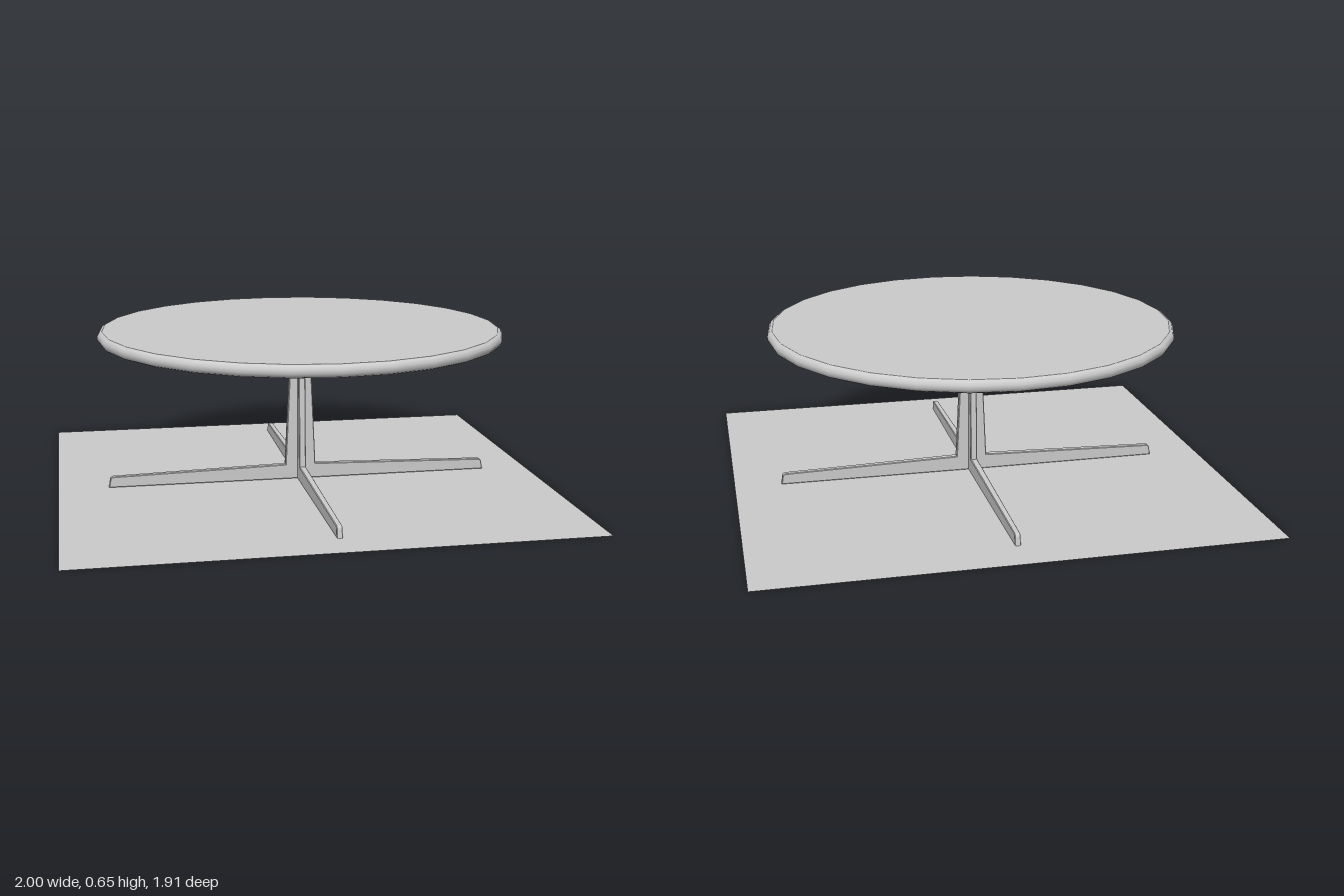
import * as THREE from 'three';

const SIDES = 28;
const TOP_Y = 0.65, UNDER_Y = 0.6, FACE_R = 0.81, RIM_R = 0.829;

export function createModel() {
  const model = new THREE.Group();
  const grey = new THREE.MeshStandardMaterial({ color: 0xcccccc });
  const greyDouble = new THREE.MeshStandardMaterial({ color: 0xcccccc, side: THREE.DoubleSide });

  const add = (parent, name, geometry, material = grey) => {
    const mesh = new THREE.Mesh(geometry, material);
    mesh.name = name;
    parent.add(mesh);
    return mesh;
  };

  // Flat floor sheet
  add(model, 'floor', new THREE.PlaneGeometry(2, 1.914).rotateX(-Math.PI / 2), greyDouble);

  const table = new THREE.Group();
  table.name = 'table';
  table.position.set(0.008, 0, 0.002);
  model.add(table);

  // Round top: softly rounded rim between two flat faces
  const rim = [
    [FACE_R, UNDER_Y], [0.822, 0.606], [RIM_R, 0.618],
    [RIM_R, 0.632], [0.822, 0.644], [FACE_R, TOP_Y],
  ].map(([r, y]) => new THREE.Vector2(r, y));
  add(table, 'tabletopRim', new THREE.LatheGeometry(rim, SIDES));
  add(table, 'tabletopFace', new THREE.CircleGeometry(FACE_R, SIDES).rotateX(-Math.PI / 2)).position.y = TOP_Y;
  add(table, 'tabletopUnderside', new THREE.CircleGeometry(FACE_R, SIDES).rotateX(Math.PI / 2)).position.y = UNDER_Y;

  // L-shaped blade: a foot along the floor and a tapering quarter of the post
  const profile = new THREE.Shape();
  profile.moveTo(0, 0);
  profile.lineTo(0.802, 0);
  profile.lineTo(0.797, 0.032);
  profile.quadraticCurveTo(0.795, 0.044, 0.783, 0.045);
  profile.lineTo(0.064, 0.063);
  profile.lineTo(0.039, UNDER_Y);
  profile.lineTo(0, UNDER_Y);
  const depth = 0.022, bevel = 0.003;
  const blade = new THREE.ExtrudeGeometry(profile, {
    depth, curveSegments: 3, bevelEnabled: true, bevelSegments: 1,
    bevelThickness: bevel, bevelSize: bevel, bevelOffset: -bevel,
  });
  blade.translate(0, 0, -depth / 2);

  // Slim the foot towards its tip
  const pos = blade.attributes.position;
  for (let i = 0; i < pos.count; i++) {
    const t = THREE.MathUtils.clamp((pos.getX(i) - 0.064) / 0.74, 0, 1);
    pos.setZ(i, pos.getZ(i) * (1 - 0.2 * t));
  }
  blade.computeVertexNormals();

  // Four blades crossing at the centre
  const base = new THREE.Group();
  base.name = 'base';
  table.add(base);
  for (let i = 0; i < 4; i++) {
    add(base, 'leg' + (i + 1), blade).rotation.y = i * Math.PI / 2;
  }

  return model;
}
